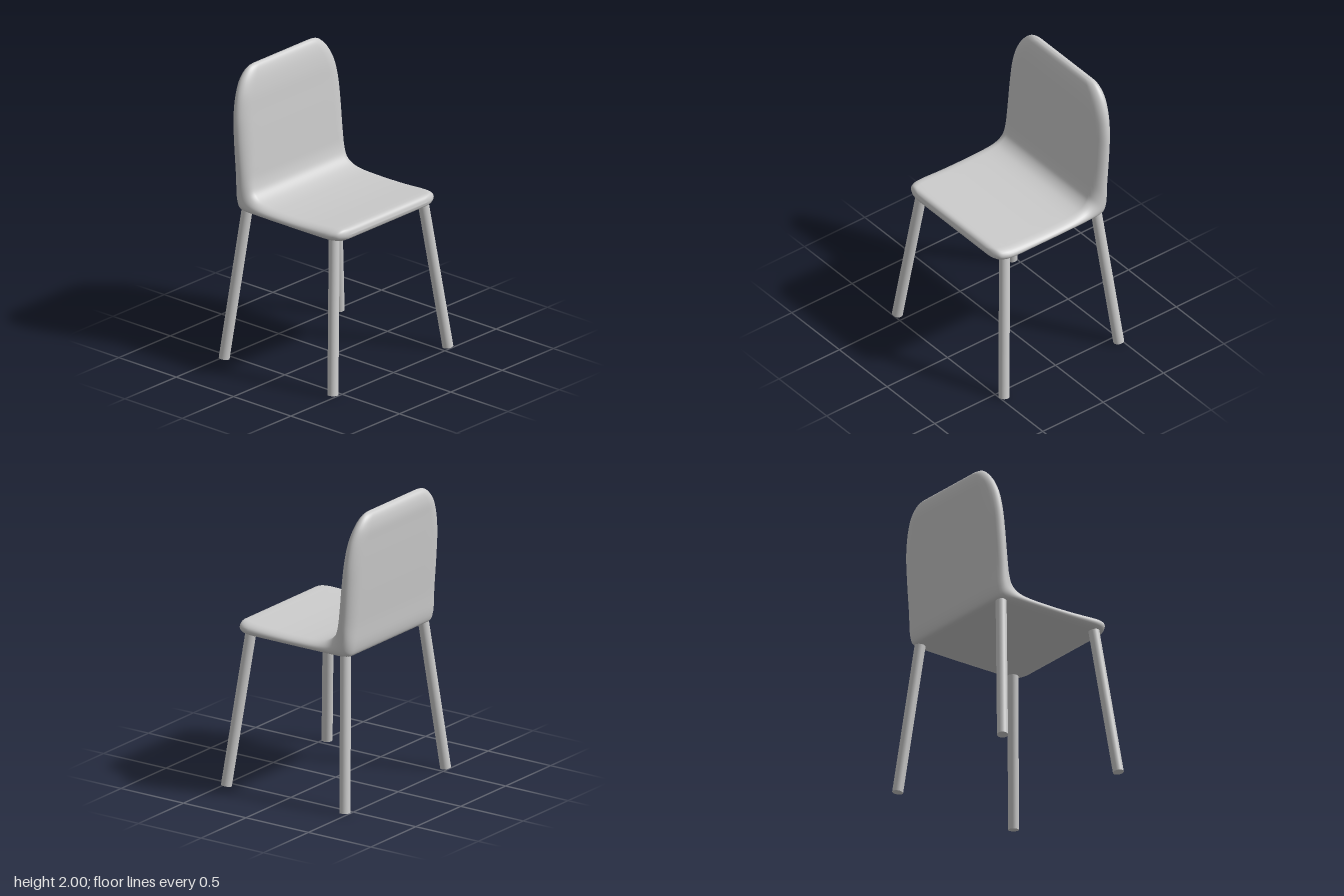
import * as THREE from 'three';
import { mergeVertices } from 'three/addons/utils/BufferGeometryUtils.js';

const material = new THREE.MeshStandardMaterial({ color: 0xcccccc });

// Shell sections from the seat's front lip to the top of the backrest:
// [sitting-side z, y, underside z, y, half width, side rounding]
const SECTIONS = [
  [0.465, 1.072, 0.465, 1.072, 0.35, 0.05],
  [0.456, 1.1, 0.456, 1.047, 0.42, 0.06],
  [0.435, 1.114, 0.43, 1.034, 0.468, 0.065],
  [0.4, 1.115, 0.39, 1.03, 0.49, 0.07],
  [0.35, 1.112, 0.34, 1.03, 0.5, 0.07],
  [0.15, 1.1, 0.15, 1.03, 0.5, 0.07],
  [-0.05, 1.097, -0.1, 1.03, 0.5, 0.07],
  [-0.2, 1.105, -0.3, 1.03, 0.5, 0.07],
  [-0.27, 1.125, -0.39, 1.03, 0.5, 0.07],
  [-0.315, 1.165, -0.435, 1.04, 0.5, 0.075],
  [-0.337, 1.23, -0.455, 1.085, 0.5, 0.08],
  [-0.35, 1.35, -0.468, 1.25, 0.5, 0.1],
  [-0.368, 1.55, -0.487, 1.5, 0.5, 0.11],
  [-0.383, 1.7, -0.498, 1.67, 0.492, 0.11],
  [-0.395, 1.82, -0.506, 1.81, 0.464, 0.11],
  [-0.411, 1.91, -0.51, 1.905, 0.418, 0.1],
  [-0.428, 1.965, -0.5, 1.965, 0.365, 0.08],
  [-0.442, 1.989, -0.485, 1.989, 0.325, 0.07],
  [-0.46, 2, -0.46, 2, 0.27, 0.06],
];

// Unit outline of one section: flat faces joined by rounded sides.
// Each entry is [flat position -1..1, rounding share, thickness -1..1].
function sectionOutline(flatSteps, arcSteps) {
  const ring = [];
  for (const side of [1, -1]) {
    for (let i = 0; i < flatSteps; i++) {
      ring.push([side * (-1 + (2 * i) / flatSteps), 0, side]);
    }
    for (let i = 0; i < arcSteps; i++) {
      const a = Math.PI * (0.5 - i / arcSteps);
      ring.push([side, side * Math.cos(a), side * Math.sin(a)]);
    }
  }
  return ring;
}

// Loft a smooth skin through the sections
function shellGeometry() {
  const sitting = new THREE.CatmullRomCurve3(
    SECTIONS.map(([z, y, , , w]) => new THREE.Vector3(w, y, z)));
  const under = new THREE.CatmullRomCurve3(
    SECTIONS.map(([, , z, y, , e]) => new THREE.Vector3(e, y, z)));
  const ring = sectionOutline(10, 14);
  const n = ring.length;
  const rows = (SECTIONS.length - 1) * 5;
  const positions = [];
  const indices = [];
  for (let r = 0; r <= rows; r++) {
    const a = sitting.getPoint(r / rows);
    const b = under.getPoint(r / rows);
    const width = a.x;
    const round = b.x;
    ring.forEach(([flat, arc, t], k) => {
      const f = (1 + t) / 2;
      positions.push(
        flat * (width - round) + arc * round,
        THREE.MathUtils.lerp(b.y, a.y, f),
        THREE.MathUtils.lerp(b.z, a.z, f));
      if (r < rows) {
        const p = r * n + k;
        const q = r * n + ((k + 1) % n);
        indices.push(p, q, p + n, q, q + n, p + n);
      }
    });
  }
  const geometry = new THREE.BufferGeometry();
  geometry.setAttribute('position', new THREE.Float32BufferAttribute(positions, 3));
  geometry.setIndex(indices);
  const merged = mergeVertices(geometry, 1e-5);
  merged.computeVertexNormals();
  return merged;
}

// Round leg between two points, ends cut square to its axis
function makeLeg(name, top, foot) {
  const axis = top.clone().sub(foot);
  const leg = new THREE.Mesh(
    new THREE.CylinderGeometry(0.036, 0.036, axis.length(), 32), material);
  leg.name = name;
  leg.position.copy(top).add(foot).multiplyScalar(0.5);
  leg.quaternion.setFromUnitVectors(new THREE.Vector3(0, 1, 0), axis.normalize());
  return leg;
}

export function createModel() {
  const chair = new THREE.Group();
  chair.name = 'chair';

  // One-piece seat and backrest
  const shell = new THREE.Mesh(shellGeometry(), material);
  shell.name = 'seatAndBackrest';
  chair.add(shell);

  // Four splayed legs
  for (const [side, s] of [['Left', 1], ['Right', -1]]) {
    chair.add(
      makeLeg('front' + side + 'Leg',
        new THREE.Vector3(s * 0.43, 1.055, 0.368), new THREE.Vector3(s * 0.56, 0.006, 0.473)),
      makeLeg('rear' + side + 'Leg',
        new THREE.Vector3(s * 0.43, 1.055, -0.388), new THREE.Vector3(s * 0.56, 0.006, -0.476)));
  }
  return chair;
}
